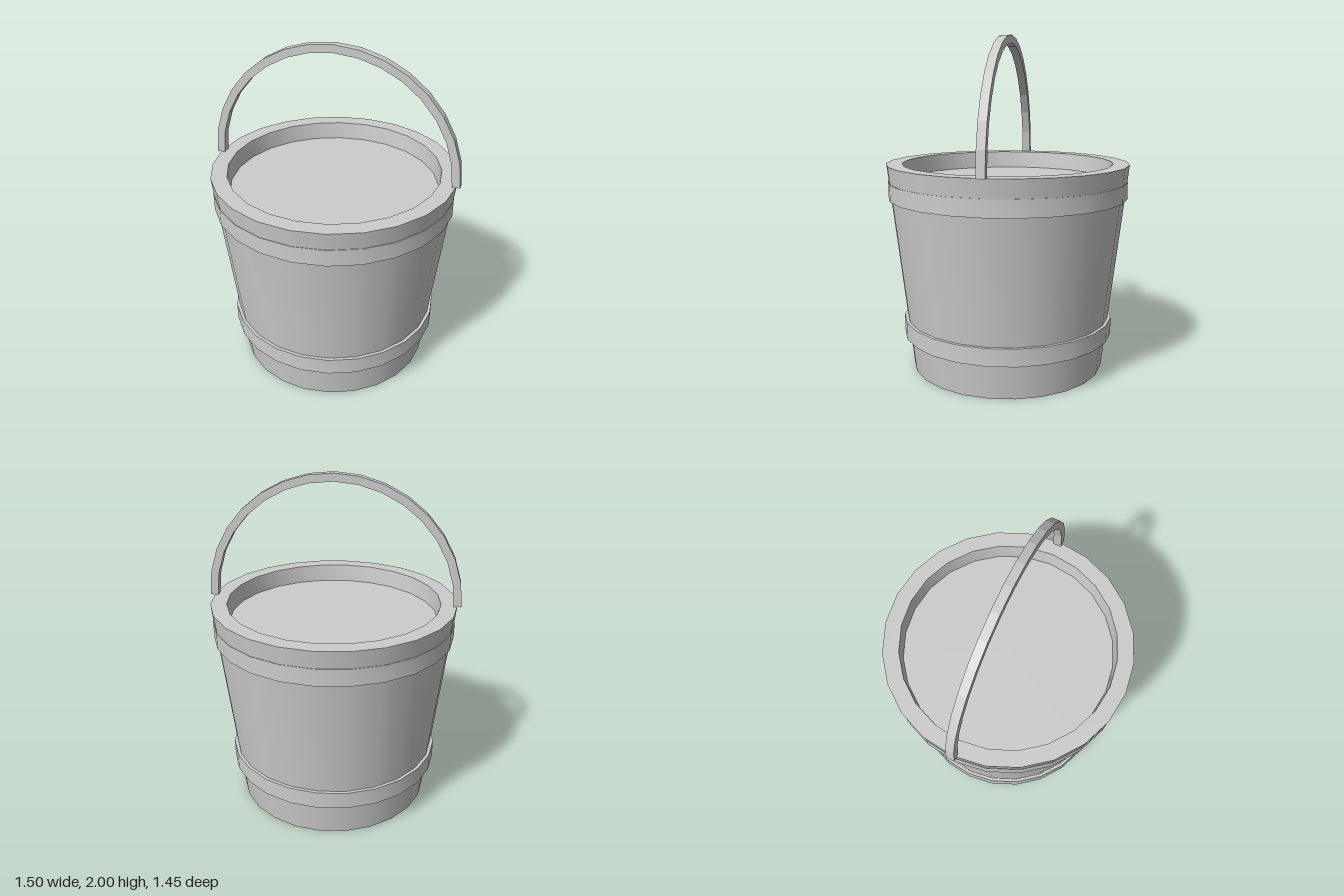
import * as THREE from 'three';
import { toCreasedNormals } from 'three/addons/utils/BufferGeometryUtils.js';

const SIDES = 24;
const RIM_Y = 1.25;

export function createModel() {
  const model = new THREE.Group();
  model.name = 'bucket';
  const grey = new THREE.MeshStandardMaterial({ name: 'light grey', color: 0xcccccc });

  const add = (name, geometry) => {
    const mesh = new THREE.Mesh(geometry, grey);
    mesh.name = name;
    model.add(mesh);
  };

  // Turned part with smooth sides and sharp rims
  const turned = (profile) =>
    toCreasedNormals(
      new THREE.LatheGeometry(profile.map(([r, y]) => new THREE.Vector2(r, y)), SIDES),
      Math.PI / 6
    );

  // Tapered body: base, outer wall, rim, inner wall and the shallow filled surface
  add('body', turned([
    [0, 0], [0.583, 0], [0.727, RIM_Y], [0.632, RIM_Y], [0.62, 1.145], [0, 1.145],
  ]));

  // Straight hoops around the body
  const hoop = (name, inner, outer, y0, y1) =>
    add(name, turned([[inner, y0], [outer, y0], [outer, y1], [inner, y1]]));
  hoop('lowerHoop', 0.57, 0.638, 0.21, 0.313);
  hoop('upperHoop', 0.66, 0.718, 1.045, 1.145);

  // Half-circle handle with a square section, made of straight segments
  const steps = 16;
  const arc = (radius) => Array.from({ length: steps + 1 }, (_, i) => {
    const a = (Math.PI * i) / steps;
    return new THREE.Vector2(radius * Math.cos(a), RIM_Y + radius * Math.sin(a));
  });
  const arch = new THREE.Shape([...arc(0.75), ...arc(0.703).reverse()]);
  const handle = new THREE.ExtrudeGeometry(arch, { depth: 0.05, bevelEnabled: false });
  handle.translate(0, 0, -0.025);
  add('handle', handle);

  return model;
}
